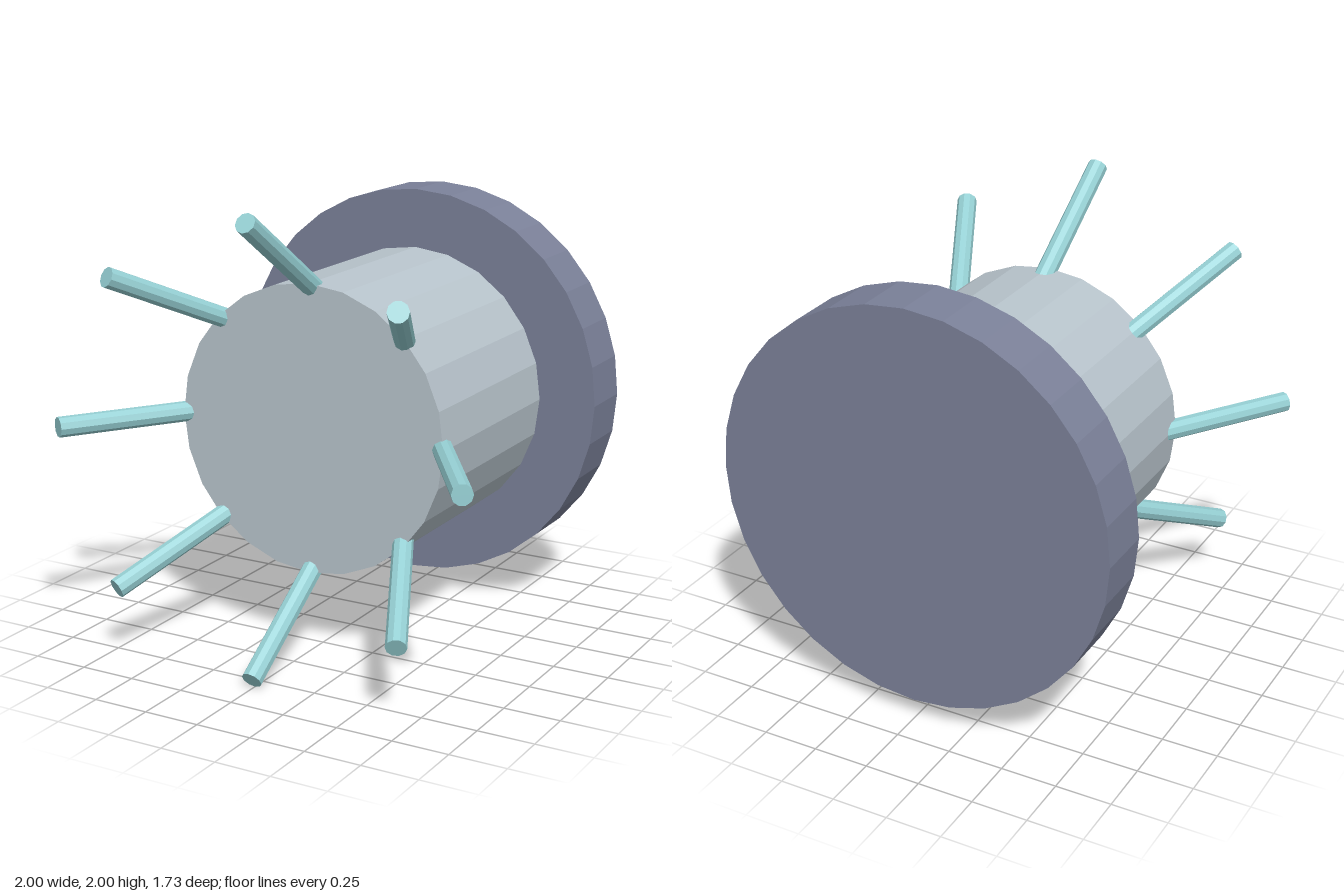
import * as THREE from 'three';

export function createModel() {
  const model = new THREE.Group();
  const material = (name, color) => {
    const m = new THREE.MeshStandardMaterial({ color, flatShading: true });
    m.name = name;
    return m;
  };
  const slate = material('slate', 0x7b8199);
  const paleGrey = material('pale grey', 0xb8c4cc);
  const aqua = material('aqua', 0x96d0d4);

  // Disc lying along z between two depths, centred at y = 1
  const disc = (name, radius, zBack, zFront, sides, mat) => {
    const geometry = new THREE.CylinderGeometry(radius, radius, zFront - zBack, sides);
    geometry.rotateX(Math.PI / 2);
    const mesh = new THREE.Mesh(geometry, mat);
    mesh.name = name;
    mesh.position.set(0, 1, (zBack + zFront) / 2);
    model.add(mesh);
  };
  disc('flange', 0.905, -0.865, -0.6, 32, slate);
  disc('body', 0.638, -0.62, 0.36, 24, paleGrey);

  // Eight splayed pegs around the front rim
  const pegs = new THREE.Group();
  pegs.name = 'pegs';
  pegs.position.y = 1;
  const inner = new THREE.Vector3(0, 0.56, 0.24);
  const outer = new THREE.Vector3(0, 0.963, 0.84);
  const along = outer.clone().sub(inner);
  const pegGeometry = new THREE.CylinderGeometry(0.045, 0.045, along.length(), 10);
  pegGeometry.rotateX(Math.atan2(along.z, along.y));
  pegGeometry.translate(0, (inner.y + outer.y) / 2, (inner.z + outer.z) / 2);
  for (let i = 0; i < 8; i++) {
    const peg = new THREE.Mesh(pegGeometry, aqua);
    peg.name = 'peg' + (i + 1);
    peg.rotation.z = (i * Math.PI) / 4;
    pegs.add(peg);
  }
  model.add(pegs);
  return model;
}
